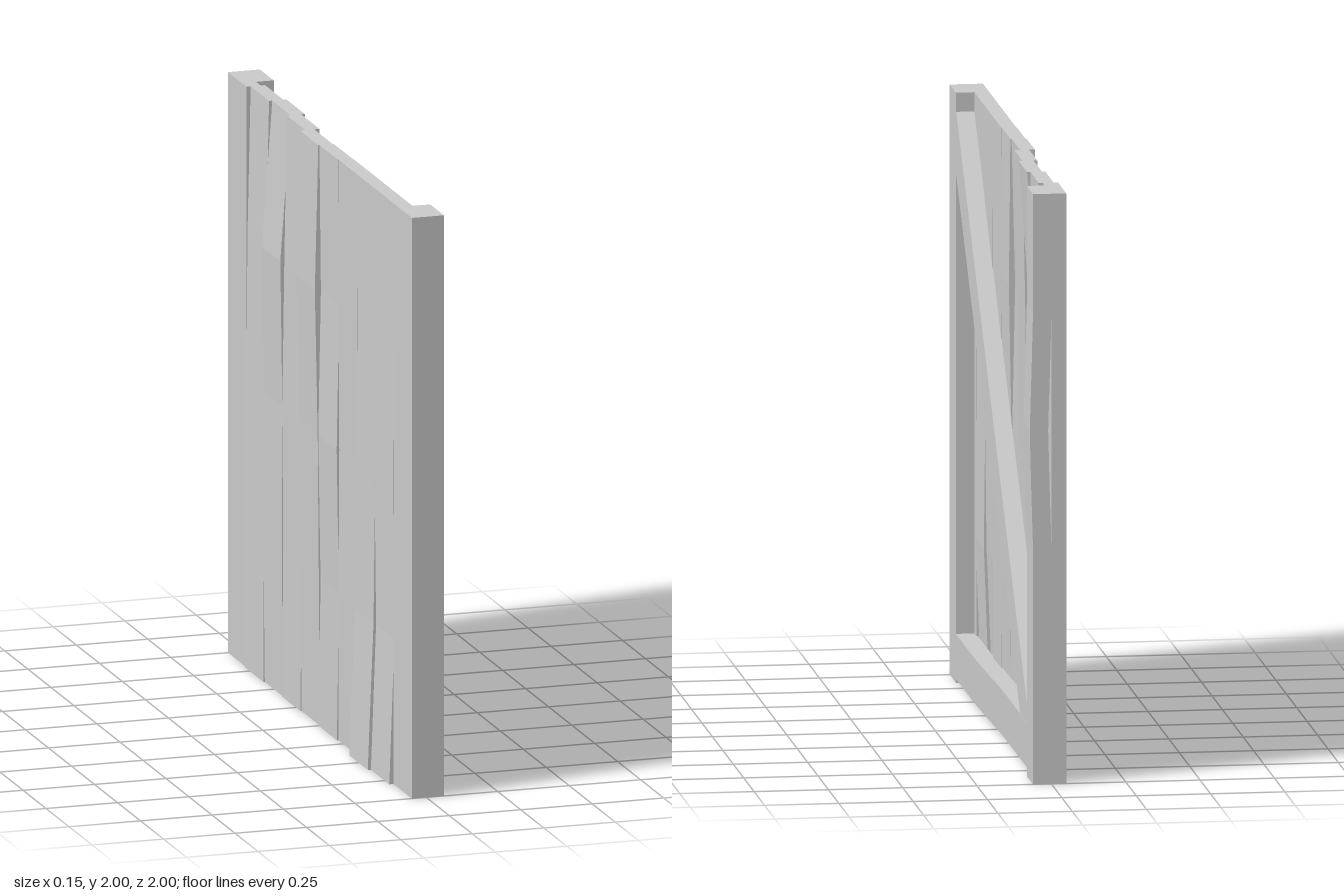
import * as THREE from 'three';

const material = new THREE.MeshStandardMaterial({ color: 0xcccccc, flatShading: true });

// Piecewise-linear lookup: offsets spread evenly over t = 0..1
function sample(offsets, t) {
  const f = THREE.MathUtils.clamp(t, 0, 1) * (offsets.length - 1);
  const i = Math.min(Math.floor(f), offsets.length - 2);
  return THREE.MathUtils.lerp(offsets[i], offsets[i + 1], f - i);
}

// Upright board, warped in x along its height
function warpedBoard(name, x0, x1, z0, z1, warp) {
  const geo = new THREE.BoxGeometry(x1 - x0, 2, z1 - z0, 1, warp.length - 1, 1);
  geo.translate((x0 + x1) / 2, 1, (z0 + z1) / 2);
  const p = geo.attributes.position;
  for (let i = 0; i < p.count; i++) p.setX(i, p.getX(i) + sample(warp, p.getY(i) / 2));
  geo.computeVertexNormals();
  const mesh = new THREE.Mesh(geo, material);
  mesh.name = name;
  return mesh;
}

export function createModel() {
  const group = new THREE.Group();
  group.name = 'woodenPanel';

  // Ten vertical planks from z = -1 to z = 1, warped at y = 0, 0.5, 1, 1.5, 2
  const warps = [
    [0, 0, 0, 0, 0],
    [-0.005, -0.003, 0, 0.004, 0.015],
    [0, -0.005, -0.003, -0.01, 0.026],
    [-0.004, 0, -0.003, 0.004, 0.013],
    [0, -0.004, -0.008, -0.018, -0.006],
    [-0.005, 0.002, -0.006, 0.003, -0.002],
    [0, 0, 0.003, 0, 0],
    [-0.026, -0.006, 0, 0.002, 0],
    [-0.015, 0.003, -0.002, 0, 0],
    [0, 0, 0, 0, 0],
  ];
  const planks = new THREE.Group();
  planks.name = 'planks';
  warps.forEach((warp, i) => {
    const z = -1 + i * 0.2;
    planks.add(warpedBoard('plank', -0.05, 0, z, z + 0.2, warp));
  });
  group.add(planks);

  // Posts at both ends, the rear one bowed outward at mid height
  group.add(warpedBoard('frontPost', 0, 0.062, 0.85, 1, [0, 0, 0]));
  group.add(warpedBoard('rearPost', 0, 0.062, -1, -0.85,
    [0, 0, 0, 0, 0, 0.006, 0.011, 0.005, 0, 0, 0]));

  // Bottom rail, rising slightly toward the rear
  const railGeo = new THREE.BoxGeometry(0.067, 0.152, 1.7, 1, 1, 8);
  railGeo.translate(0.0285, 0.09, 0);
  const p = railGeo.attributes.position;
  const rise = [0.016, 0.016, 0.017, 0.015, 0.009, 0.004, 0, 0, 0];
  for (let i = 0; i < p.count; i++) {
    p.setY(i, p.getY(i) + sample(rise, (p.getZ(i) + 0.85) / 1.7));
  }
  railGeo.computeVertexNormals();
  const rail = new THREE.Mesh(railGeo, material);
  rail.name = 'bottomRail';
  group.add(rail);

  // Diagonal brace, drawn with horizontal axis = -z
  const braceShape = new THREE.Shape([
    [-0.85, 1.72], [-0.85, 1.935], [0.85, 0.24], [0.85, 0.175], [0.69, 0.175],
  ].map(([u, y]) => new THREE.Vector2(u, y)));
  const braceGeo = new THREE.ExtrudeGeometry(braceShape, { depth: 0.061, bevelEnabled: false });
  braceGeo.rotateY(Math.PI / 2);
  const brace = new THREE.Mesh(braceGeo, material);
  brace.name = 'diagonalBrace';
  group.add(brace);

  return group;
}
